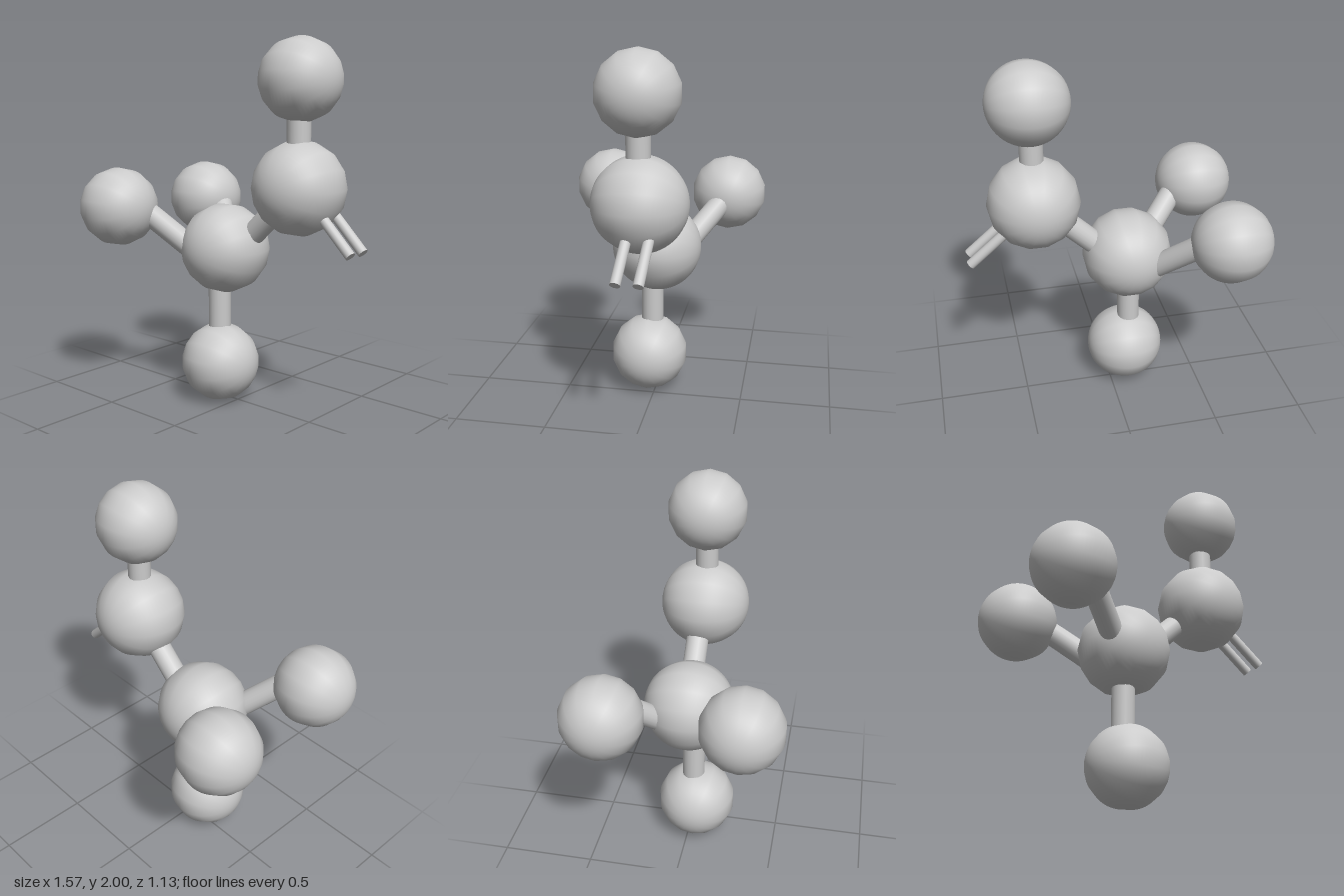
import * as THREE from 'three';

const material = new THREE.MeshStandardMaterial({ color: 0xcccccc });

// Ball with few sides around its axis and many rings along it
function ball(name, radius, axis, position) {
  const geometry = new THREE.SphereGeometry(radius, 14, 32);
  if (axis === 'z') geometry.rotateX(Math.PI / 2);
  else geometry.rotateZ(Math.PI / 2);
  const mesh = new THREE.Mesh(geometry, material);
  mesh.name = name;
  mesh.position.set(...position);
  return mesh;
}

// Round rod between two points
function rod(name, radius, from, to) {
  const a = new THREE.Vector3(...from);
  const b = new THREE.Vector3(...to);
  const dir = b.clone().sub(a);
  const mesh = new THREE.Mesh(new THREE.CylinderGeometry(radius, radius, dir.length(), 20), material);
  mesh.name = name;
  mesh.position.copy(a).add(b).multiplyScalar(0.5);
  mesh.quaternion.setFromUnitVectors(new THREE.Vector3(0, 1, 0), dir.normalize());
  return mesh;
}

export function createModel() {
  const model = new THREE.Group();
  model.name = 'ballAndStickModel';
  const large = 0.247, small = 0.216, thick = 0.0625, thin = 0.027;

  // Two large central balls
  model.add(
    ball('lowerCentreBall', large, 'z', [-0.095, 0.86, -0.003]),
    ball('upperCentreBall', large, 'z', [0.41, 1.235, -0.007])
  );

  // Four small outer balls
  model.add(
    ball('topBall', small, 'x', [0.417, 1.784, 0]),
    ball('bottomBall', small, 'x', [-0.095, 0.216, 0.04]),
    ball('frontBall', small, 'x', [-0.57, 1.085, 0.35]),
    ball('backBall', small, 'x', [-0.573, 1.066, -0.355])
  );

  // Thick connecting rods, with their ends hidden inside the balls
  model.add(
    rod('centreRod', thick, [0.02, 0.888, -0.02], [0.31, 1.16, -0.02]),
    rod('topRod', thick, [0.41, 1.3, 0], [0.41, 1.72, 0]),
    rod('bottomRod', thick, [-0.112, 0.28, 0.025], [-0.112, 0.75, 0.025]),
    rod('frontRod', thick, [-0.48, 1.114, 0.315], [-0.16, 0.794, 0.081]),
    rod('backRod', thick, [-0.47, 1.104, -0.379], [-0.16, 0.772, -0.09])
  );

  // Pair of thin open-ended rods side by side
  for (const [name, z] of [['frontThinRod', 0.043], ['backThinRod', -0.068]]) {
    model.add(rod(name, thin, [0.48, 1.198, z - 0.025], [0.766, 0.935, z]));
  }
  return model;
}
